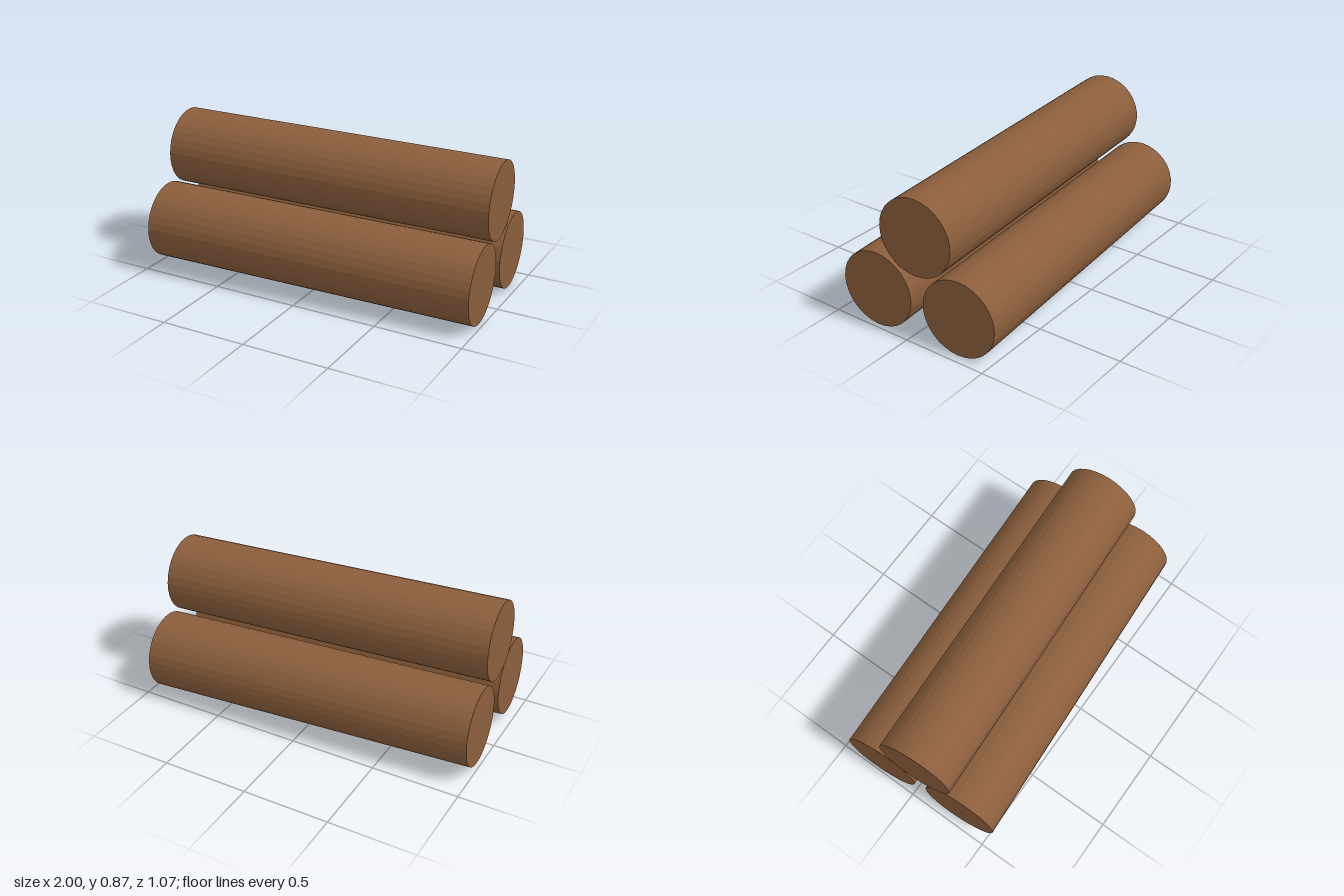
import * as THREE from 'three';

export function createModel() {
  const group = new THREE.Group();
  group.name = 'logPile';
  const bark = new THREE.MeshStandardMaterial({ color: 0x8b5e3c, flatShading: true });
  const radius = 0.223;
  // All logs share one slightly tilted axis
  const axis = new THREE.Vector3(1.94, -0.035, -0.11);
  const geometry = new THREE.CylinderGeometry(radius, radius, axis.length(), 32);
  const tilt = new THREE.Quaternion().setFromUnitVectors(
    new THREE.Vector3(0, 1, 0), axis.clone().normalize());

  // Centre of the +x end of each log
  const logs = {
    frontLog: [0.985, 0.232, 0.206],
    backLog: [0.953, 0.224, -0.314],
    topLog: [0.97, 0.613, -0.057],
  };
  for (const [name, end] of Object.entries(logs)) {
    const log = new THREE.Mesh(geometry, bark);
    log.name = name;
    log.quaternion.copy(tilt);
    log.position.set(...end).addScaledVector(axis, -0.5);
    group.add(log);
  }
  return group;
}
